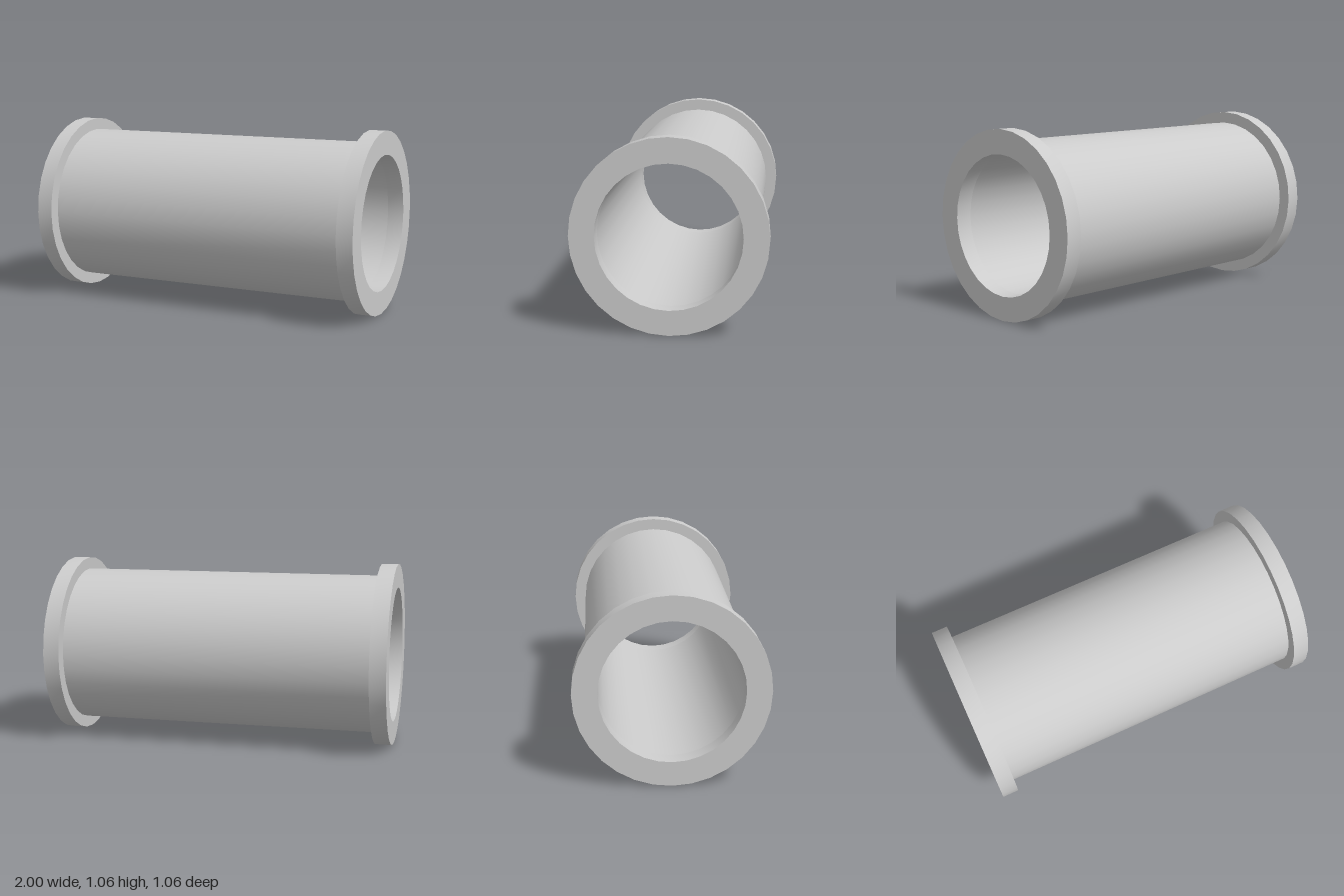
import * as THREE from 'three';
import { toCreasedNormals } from 'three/addons/utils/BufferGeometryUtils.js';

const SIDES = 32;
const BORE = 0.394, BARREL = 0.463, FLANGE = 0.532; // radii
const END = 1, SHOULDER = 0.905;                    // distances along the axis

// Revolves a [radius, axial] profile around the x axis, keeping corners sharp
function turned(name, profile, material) {
  const points = profile.map(([r, a]) => new THREE.Vector2(r, a));
  const lathe = new THREE.LatheGeometry(points, SIDES).rotateZ(-Math.PI / 2);
  const mesh = new THREE.Mesh(toCreasedNormals(lathe, Math.PI / 6), material);
  mesh.name = name;
  mesh.position.y = FLANGE;
  return mesh;
}

export function createModel() {
  const model = new THREE.Group();
  model.name = 'flangedPipe';
  const material = new THREE.MeshStandardMaterial({ color: 0xcccccc });

  // Pipe wall: outside of the barrel and the bore through it
  model.add(turned('barrel', [[BARREL, -SHOULDER], [BARREL, SHOULDER]], material));
  model.add(turned('bore', [[BORE, SHOULDER], [BORE, -SHOULDER]], material));

  // Flange at each end: shoulder, rim, end face and bore
  const flange = [[BARREL, SHOULDER], [FLANGE, SHOULDER], [FLANGE, END], [BORE, END], [BORE, SHOULDER]];
  for (const side of [1, -1]) {
    const part = turned(side > 0 ? 'leftFlange' : 'rightFlange', flange, material);
    if (side < 0) part.rotation.y = Math.PI;
    model.add(part);
  }
  return model;
}
